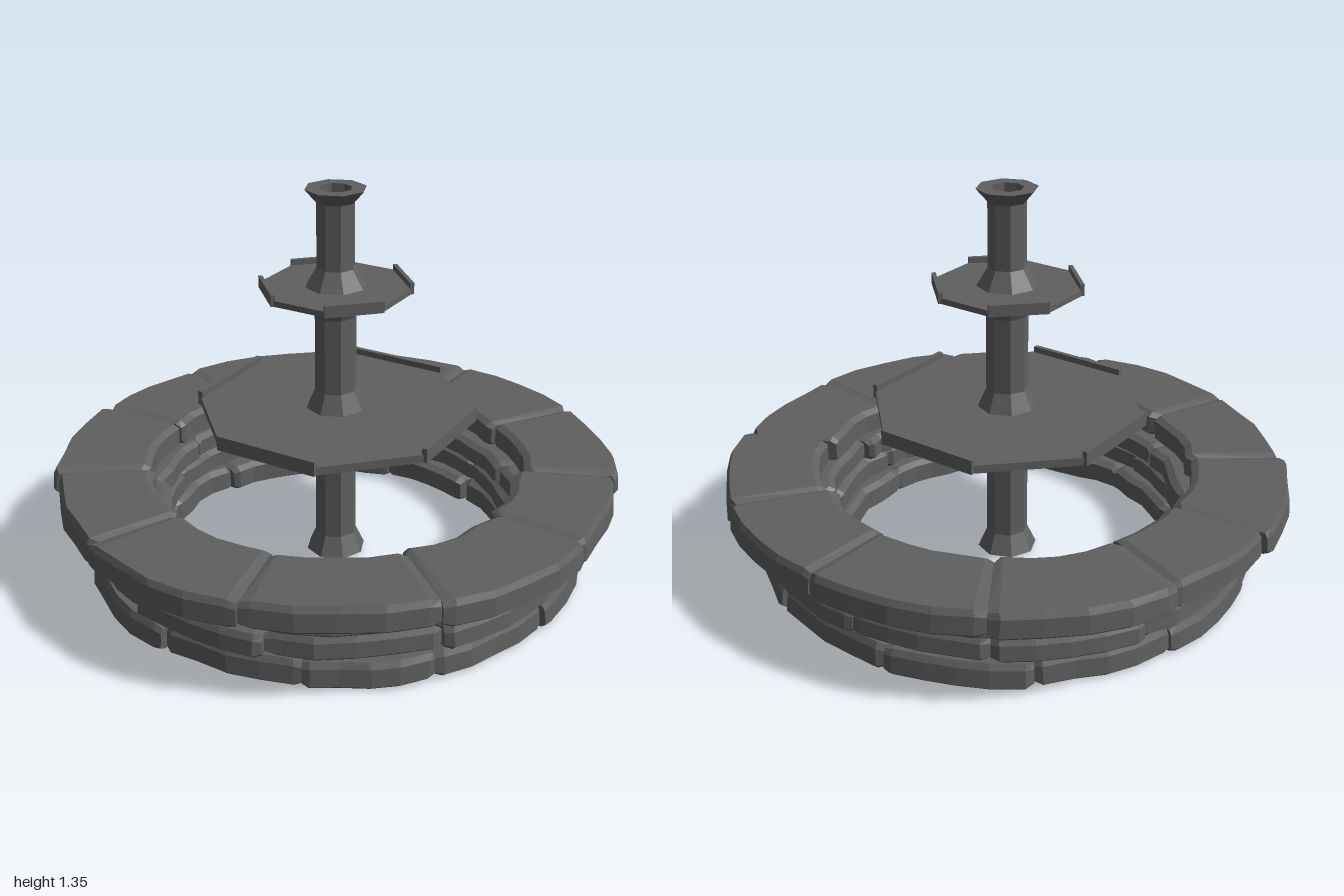
import * as THREE from 'three';

const stoneMat = new THREE.MeshStandardMaterial({ color: 0x606060, flatShading: true });

// Small seeded generator for hand-cut irregularity, returns -1..1
let seed = 7;
const rnd = () => {
  seed = (seed * 16807) % 2147483647;
  return (seed / 2147483647) * 2 - 1;
};

const rad = THREE.MathUtils.degToRad;

function addMesh(parent, geometry, name) {
  const mesh = new THREE.Mesh(geometry, stoneMat);
  mesh.name = name;
  parent.add(mesh);
  return mesh;
}

// Curved block: a chamfered section swept along an arc, pinched at both ends
function curbStone(a0, a1, rIn, rOut, y0, y1) {
  const stations = [0, 0.06, 0.28, 0.5, 0.72, 0.94, 1];
  const n = 8;
  const pos = [];
  const index = [];
  const cr = 0.016, cy = 0.014;
  const cm = (rIn + rOut) / 2, ym = (y0 + y1) / 2;
  stations.forEach((u, s) => {
    const end = s === 0 || s === stations.length - 1;
    const kr = end ? 0.94 : 1, ky = end ? 0.8 : 1;
    const o = rOut + rnd() * 0.008, i = rIn + rnd() * 0.01;
    const section = [
      [i + cr * 1.5, y0], [o - cr, y0], [o, y0 + cy], [o - 0.005, y1 - cy * 1.5],
      [o - cr, y1], [i + cr * 1.5, y1], [i, y1 - cy], [i, y0 + cy],
    ];
    section.forEach(([r, y]) => {
      const a = a0 + (a1 - a0) * u + (end ? 0 : rnd() * 0.006);
      const rr = cm + (r - cm) * kr;
      pos.push(rr * Math.cos(a), ym + (y - ym) * ky, rr * Math.sin(a));
    });
  });
  for (let s = 0; s < stations.length - 1; s++) {
    for (let k = 0; k < n; k++) {
      const p = s * n + k, p1 = s * n + ((k + 1) % n);
      index.push(p, p1, p + n, p1, p1 + n, p + n);
    }
  }
  const last = (stations.length - 1) * n;
  for (let k = 1; k < n - 1; k++) {
    index.push(0, k + 1, k, last, last + k, last + k + 1);
  }
  const g = new THREE.BufferGeometry();
  g.setAttribute('position', new THREE.Float32BufferAttribute(pos, 3));
  g.setIndex(index);
  g.computeVertexNormals();
  return g;
}

// One ring of stones between the given joint angles (degrees, +x toward +z)
function course(name, joints, y0, y1, inner, radii) {
  const ring = new THREE.Group();
  ring.name = name;
  joints.forEach((a, i) => {
    const next = i + 1 < joints.length ? joints[i + 1] : joints[0] + 360;
    const rOut = radii[i % radii.length];
    const g = curbStone(rad(a), rad(next), inner + rnd() * 0.02, rOut, y0, y1);
    addMesh(ring, g, 'curbStone');
  });
  return ring;
}

// Octagonal lathe; turn is the rotation of its first corner
const octagon = (profile, turn) => new THREE.LatheGeometry(
  profile.map(([r, y]) => new THREE.Vector2(r, y)), 8, turn);

// Octagonal tray with a raised lip on every other side
function tray(name, r, yHub, yRim, yTop, lipTop, lipStart, lipThick) {
  const group = new THREE.Group();
  group.name = name;
  addMesh(group, octagon([[0, yHub], [0.1, yHub], [r, yRim], [r, yTop], [0, yTop]], 0), 'trayPlate');
  const side = 2 * r * Math.sin(Math.PI / 8);
  const apothem = r * Math.cos(Math.PI / 8);
  for (let i = 0; i < 4; i++) {
    const pivot = new THREE.Group();
    pivot.name = 'lipSide';
    const lip = addMesh(pivot, new THREE.BoxGeometry(lipThick, lipTop - yRim, side * 1.02), 'trayLip');
    lip.position.set(apothem - lipThick / 2 + 0.008, (lipTop + yRim) / 2, 0);
    pivot.rotation.y = -rad(lipStart + i * 90);
    group.add(pivot);
  }
  return group;
}

// Column section flared at both ends
const columnProfile = (y0, y1, r, foot, head) => [
  [0, y0], [0.105, y0], [r, y0 + foot], [r, y1 - head], [0.105, y1],
];

export function createModel() {
  const model = new THREE.Group();
  model.name = 'fountain';

  // Basin wall: three lower courses and an overhanging coping
  const basin = new THREE.Group();
  basin.name = 'basin';
  const coping = [-90, -55, -20, 11.5, 44, 73.5, 108, 144.5, 180, 211, 243.5];
  const copingRadii = [0.995, 0.985, 0.985, 0.99, 0.97, 0.992, 0.968, 0.985, 0.97, 0.99, 0.975];
  const lowRadii = [0.875, 0.86, 0.87, 0.855];
  const low = [36, 75, 106, 134, 167, 201, 232, 264, 296, 328, 362];
  const mid = [5, 37, 73, 104, 142, 175, 208, 240, 272, 305, 336];
  const high = [25, 62, 84, 106, 150, 186, 219, 250, 284, 318, 350];
  basin.add(
    course('lowerCourse', low, 0, 0.096, 0.59, lowRadii),
    course('middleCourse', mid, 0.098, 0.184, 0.6, lowRadii),
    course('upperCourse', high, 0.184, 0.268, 0.6, lowRadii),
    course('coping', coping, 0.264, 0.36, 0.65, copingRadii),
  );
  model.add(basin);

  // Stacked column
  const column = new THREE.Group();
  column.name = 'column';
  const turn = Math.PI / 8;
  addMesh(column, octagon([...columnProfile(0.01, 0.53, 0.073, 0.07, 0.08), [0, 0.53]], turn), 'lowerColumn');
  addMesh(column, octagon([...columnProfile(0.565, 0.975, 0.073, 0.07, 0.07), [0, 0.975]], turn), 'middleColumn');
  // Spout with an open mouth
  addMesh(column, octagon([
    ...columnProfile(1.01, 1.345, 0.066, 0.065, 0.045), [0.056, 1.345], [0.056, 1.27], [0, 1.27],
  ], turn), 'spout');
  model.add(column);

  // Trays
  model.add(tray('lowerTray', 0.48, 0.525, 0.54, 0.568, 0.59, 67.5, 0.018));
  model.add(tray('upperTray', 0.255, 0.97, 0.99, 1.01, 1.03, 22.5, 0.014));
  return model;
}
